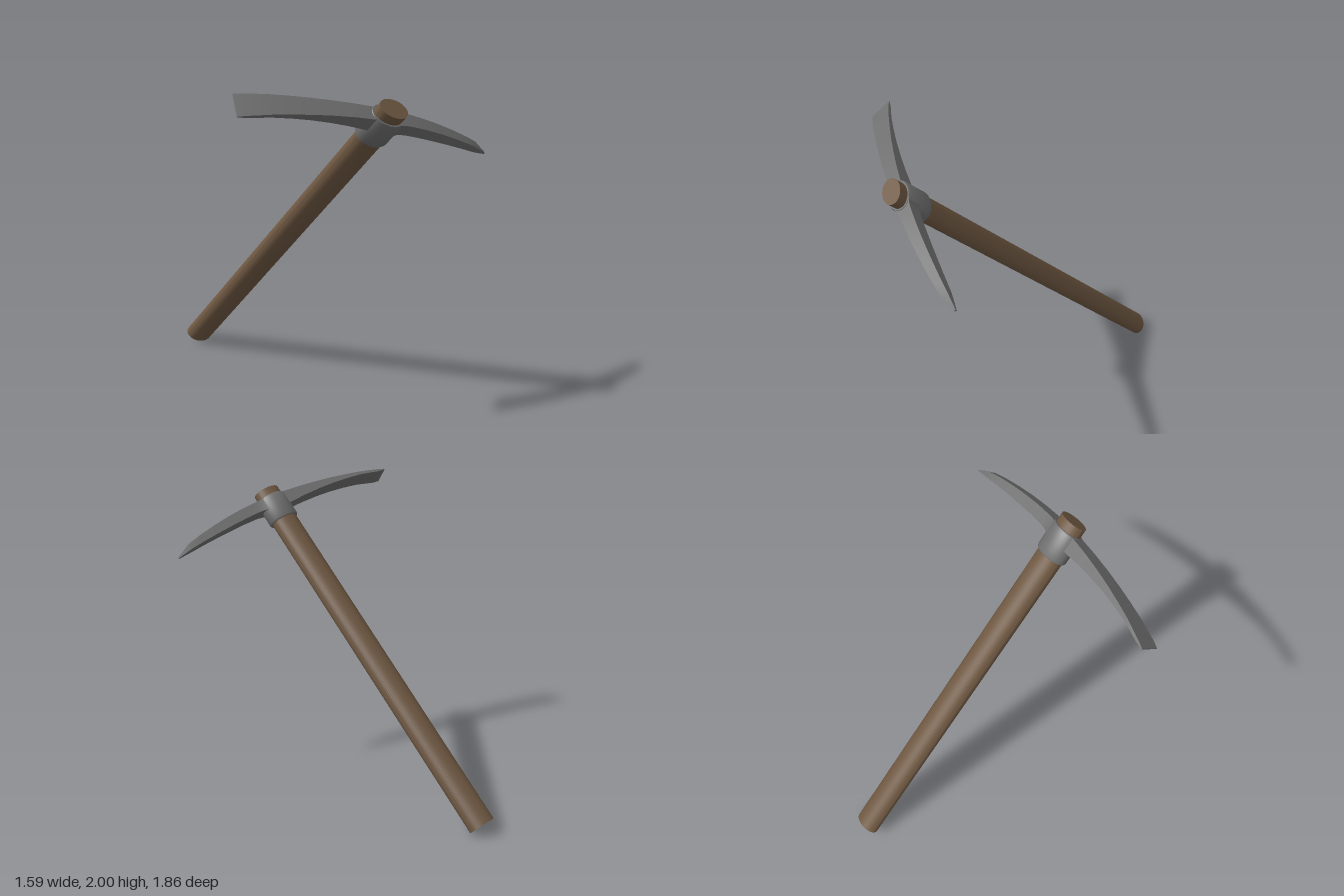
import * as THREE from 'three';
import { toCreasedNormals } from 'three/addons/utils/BufferGeometryUtils.js';

const wood = new THREE.MeshStandardMaterial({ name: 'wood', color: 0x6f5842 });
const iron = new THREE.MeshStandardMaterial({ name: 'iron', color: 0x6e6e6f });

// Oval turned part: profile of [radius, height], squashed front to back
function oval(name, profile, squash, material) {
  const points = profile.map(([r, y]) => new THREE.Vector2(r, y));
  const geometry = new THREE.LatheGeometry(points, 40).scale(1, 1, squash);
  const mesh = new THREE.Mesh(toCreasedNormals(geometry, 0.6), material);
  mesh.name = name;
  return mesh;
}

// Rectangular bar lofted along x through stations of [x, top, bottom, half width]
function bar(name, stations, material) {
  const positions = [];
  const index = [];
  for (const [x, top, bottom, w] of stations) {
    positions.push(x, top, w, x, top, -w, x, bottom, -w, x, bottom, w);
  }
  const last = (stations.length - 1) * 4;
  for (let i = 0; i < last; i += 4) {
    for (let k = 0; k < 4; k++) {
      const n = (k + 1) % 4;
      index.push(i + k, i + 4 + k, i + 4 + n, i + k, i + 4 + n, i + n);
    }
  }
  index.push(0, 1, 2, 0, 2, 3);
  index.push(last, last + 2, last + 1, last, last + 3, last + 2);
  const geometry = new THREE.BufferGeometry();
  geometry.setAttribute('position', new THREE.Float32BufferAttribute(positions, 3));
  geometry.setIndex(index);
  const mesh = new THREE.Mesh(toCreasedNormals(geometry, 0.35), material);
  mesh.name = name;
  return mesh;
}

export function createModel() {
  // Tool space: handle runs down -y from its top end, the head runs along x
  const tool = new THREE.Group();
  tool.name = 'pickaxe';

  // Handle with closed ends
  tool.add(oval('handle', [[0, -2.625], [0.09, -2.625], [0.09, 0], [0, 0]], 0.73, wood));

  // Iron socket around the handle, with bevelled lower rim
  tool.add(oval('socket', [
    [0.088, -0.243], [0.1, -0.243], [0.106, -0.232], [0.106, -0.066], [0.1, -0.057], [0.088, -0.057],
  ], 0.755, iron));

  // Wide flat blade, sharpened from below at its end
  tool.add(bar('adzeBlade', [
    [-0.848, -0.201, -0.206, 0.075],
    [-0.795, -0.182, -0.2, 0.073],
    [-0.67, -0.146, -0.17, 0.067],
    [-0.56, -0.122, -0.155, 0.062],
    [-0.45, -0.101, -0.146, 0.057],
    [-0.33, -0.083, -0.143, 0.052],
    [-0.21, -0.069, -0.146, 0.048],
    [-0.085, -0.06, -0.155, 0.045],
  ], iron));

  // Pointed pick, flared where it joins the socket
  tool.add(bar('pickPoint', [
    [0.06, -0.059, -0.155, 0.06],
    [0.1, -0.06, -0.142, 0.048],
    [0.15, -0.062, -0.139, 0.044],
    [0.25, -0.069, -0.143, 0.04],
    [0.36, -0.082, -0.152, 0.036],
    [0.48, -0.102, -0.164, 0.032],
    [0.59, -0.125, -0.177, 0.028],
    [0.685, -0.15, -0.191, 0.024],
    [0.785, -0.2, -0.209, 0.006],
  ], iron));

  // Lean the tool on its handle end
  const up = new THREE.Vector3(0.24, 0.7015, 0.671).normalize();
  const front = new THREE.Vector3(0.967, -0.239, -0.092).cross(up).normalize();
  const side = up.clone().cross(front);
  tool.quaternion.setFromRotationMatrix(new THREE.Matrix4().makeBasis(side, up, front));
  tool.position.set(0.08, 1.89, 0.882);

  const model = new THREE.Group();
  model.add(tool);
  return model;
}
